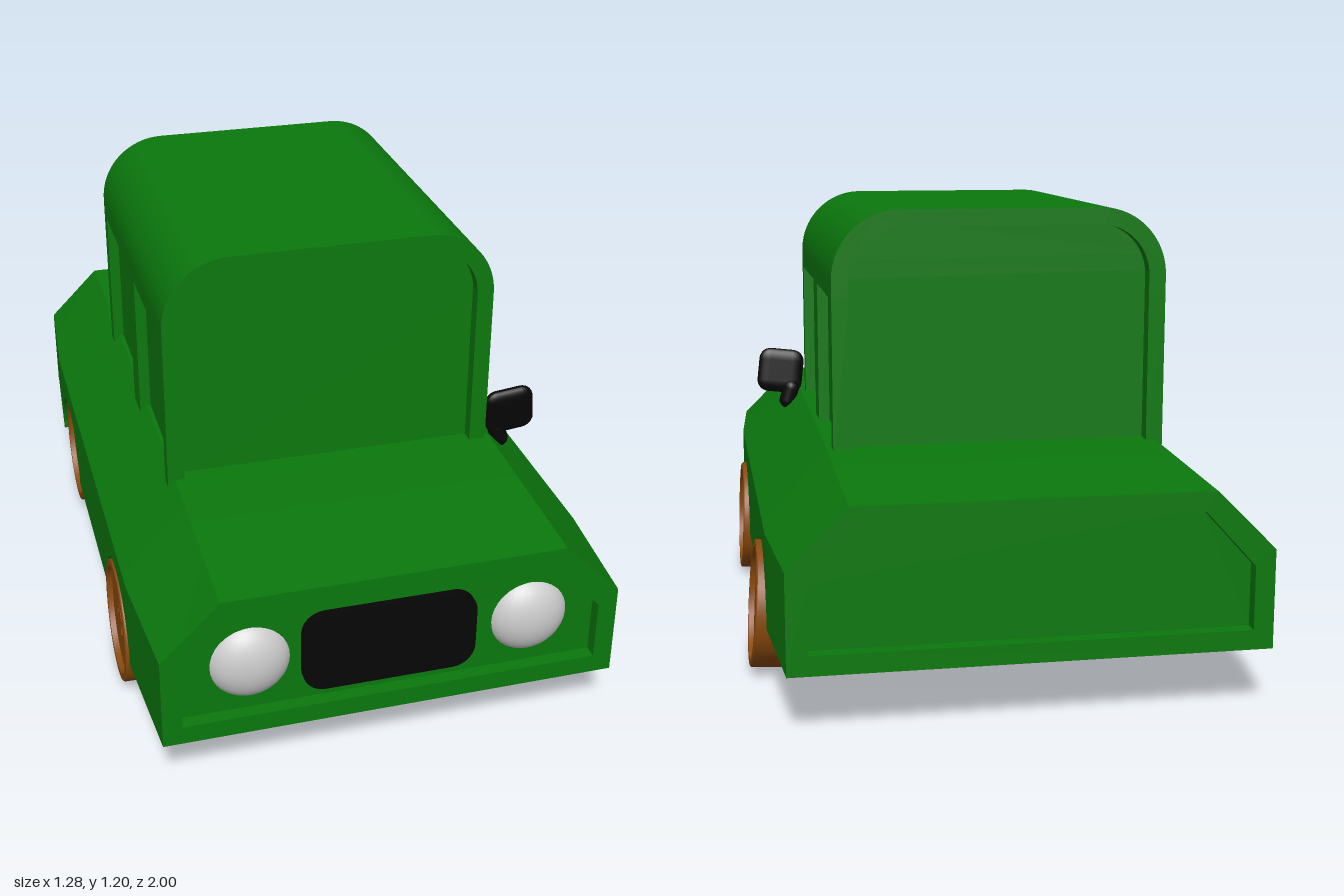
import * as THREE from 'three';
import { toCreasedNormals } from 'three/addons/utils/BufferGeometryUtils.js';
import { RoundedBoxGeometry } from 'three/addons/geometries/RoundedBoxGeometry.js';

const paint = (color) => new THREE.MeshStandardMaterial({ color, side: THREE.DoubleSide });
const green = paint(0x0b780d), brown = paint(0x8a4a0e), black = paint(0x060606), grey = paint(0xcccccc);
const CX = -0.015;            // centre line of the body
const FRONT = 0.985, BACK = -1;
const SILL = 0.16, FLOOR = 0.2, BELT = 0.41, DECK = 0.58;
const AXLE = 0.465, ARCH = 0.185, POCKET = 0.47, BEND = AXLE + ARCH;

// Half width of the body, tapering towards both ends
const halfWidth = (z) => 0.615 - 0.025 * Math.max(0, (Math.abs(z) - BEND) / 0.34);

function add(parent, name, geometry, material, x = 0, y = 0, z = 0) {
  const mesh = new THREE.Mesh(geometry, material);
  mesh.name = name;
  mesh.position.set(x, y, z);
  parent.add(mesh);
  return mesh;
}

const box = (parent, name, x0, x1, y0, y1, z0, z1) =>
  add(parent, name, new THREE.BoxGeometry(x1 - x0, y1 - y0, z1 - z0), green,
    (x0 + x1) / 2, (y0 + y1) / 2, (z0 + z1) / 2);

const polygon = (pts) => new THREE.Shape(pts.map(([x, y]) => new THREE.Vector2(x, y)));
const extrude = (shape, depth) =>
  new THREE.ExtrudeGeometry(shape, { depth, bevelEnabled: false, curveSegments: 10 });

// Upright outline with two rounded top corners and, if low > 0, two bottom ones
function roundedShape(half, bottom, top, r, low = 0) {
  const s = new THREE.Shape();
  s.moveTo(-half + low, bottom);
  s.lineTo(half - low, bottom);
  if (low) s.absarc(half - low, bottom + low, low, -Math.PI / 2, 0);
  s.lineTo(half, top - r);
  s.absarc(half - r, top - r, r, 0, Math.PI / 2);
  s.lineTo(-half + r, top);
  s.absarc(-half + r, top - r, r, Math.PI / 2, Math.PI);
  s.lineTo(-half, bottom + low);
  if (low) s.absarc(-half + low, bottom + low, low, Math.PI, Math.PI * 1.5);
  return s;
}

// Bonnet, deck and shoulders: one section swept along the length
function upperShell() {
  const pos = [], index = [];
  const stations = [BACK, -BEND, -0.45, 0.45, BEND, FRONT];
  for (const z of stations) {
    const w = halfWidth(z);
    const y = DECK - 0.02 * Math.max(0, (Math.abs(z) - 0.45) / 0.54);
    pos.push(-w, BELT, z, -0.44, y, z, 0.44, y, z, w, BELT, z);
  }
  for (let i = 0; i < stations.length - 1; i++)
    for (let j = 0; j < 3; j++) {
      const a = i * 4 + j, b = a + 4;
      index.push(a, b, a + 1, b, b + 1, a + 1);
    }
  const g = new THREE.BufferGeometry();
  g.setAttribute('position', new THREE.Float32BufferAttribute(pos, 3));
  g.setIndex(index);
  return toCreasedNormals(g, 0.3);
}

// Lower side in three lengths: plain ends and a middle with two wheel arches
function addSide(body, s) {
  const u0 = s > 0 ? -FRONT : BACK, u1 = s > 0 ? -BACK : FRONT;
  const middle = new THREE.Shape();
  middle.moveTo(-BEND, SILL);
  for (const c of [-AXLE, AXLE]) {
    middle.lineTo(c - ARCH, SILL);
    middle.absarc(c, SILL, ARCH, Math.PI, 0, true);
  }
  middle.lineTo(BEND, BELT);
  middle.lineTo(-BEND, BELT);
  const end = (a, b) => polygon([[a, SILL], [b, SILL], [b, BELT], [a, BELT]]);
  for (const shape of [end(u0, -BEND), middle, end(BEND, u1)]) {
    const g = extrude(shape, 0.04);
    const p = g.attributes.position;
    for (let i = 0; i < p.count; i++) {
      const z = -s * p.getX(i);
      p.setXYZ(i, s * (halfWidth(z) - 0.04 + p.getZ(i)), p.getY(i), z);
    }
    g.computeVertexNormals();
    add(body, 'sidePanel', g, green);
  }
}

function buildBody() {
  const body = new THREE.Group();
  body.name = 'body';
  body.position.x = CX;
  add(body, 'upperShell', upperShell(), green);

  // Framed, recessed end faces
  const inner = [[-0.54, 0.21], [0.54, 0.21], [0.54, 0.37], [0.412, 0.51], [-0.412, 0.51], [-0.54, 0.37]];
  const outline = [[-0.59, SILL], [0.59, SILL], [0.59, BELT], [0.44, 0.56], [-0.44, 0.56], [-0.59, BELT]];
  for (const [name, z, dir] of [['front', FRONT, -1], ['rear', BACK, 1]]) {
    const frame = polygon(outline);
    frame.holes.push(polygon(inner));
    add(body, name + 'Frame', extrude(frame, 0.035), green, 0, 0, dir < 0 ? z - 0.035 : z);
    add(body, name + 'Panel', extrude(polygon(inner), 0.01), green, 0, 0, dir < 0 ? z - 0.045 : z + 0.035);
  }

  // Sides and wheel pockets, which end level with the floor
  const cut = Math.asin((FLOOR - SILL) / ARCH);
  const pocket = new THREE.Shape().absarc(0, 0, ARCH, cut, Math.PI - cut);
  for (const s of [1, -1]) {
    addSide(body, s);
    for (const z of [AXLE, -AXLE]) {
      const liner = new THREE.CylinderGeometry(ARCH, ARCH, 0.14, 20, 1, true, cut, Math.PI - 2 * cut);
      add(body, 'archLiner', liner.rotateZ(Math.PI / 2), green, s * (POCKET + 0.07), SILL, z);
      const wall = new THREE.ShapeGeometry(pocket, 20);
      add(body, 'archWall', wall.rotateY(Math.PI / 2), green, s * POCKET, SILL, z);
    }
    // Floor beside the pockets
    const a = s > 0 ? POCKET : -0.58, b = s > 0 ? 0.58 : -POCKET;
    for (const [z0, z1] of [[BEND, 0.95], [0.15, 0.28], [-0.28, -0.13], [-0.96, -BEND]])
      box(body, 'sideFloor', a, b, FLOOR, 0.26, z0, z1);
  }
  // Floor with a shallow channel across the middle
  box(body, 'frontFloor', -POCKET, POCKET, FLOOR, 0.26, 0.15, 0.95);
  box(body, 'rearFloor', -POCKET, POCKET, FLOOR, 0.26, -0.96, -0.13);
  box(body, 'floorChannel', -0.58, 0.58, 0.245, 0.26, -0.13, 0.15);
  return body;
}

function buildCabin() {
  const cabin = new THREE.Group();
  cabin.name = 'cabin';
  cabin.position.x = -0.0325;
  const half = 0.4425, wall = 0.045, inset = 0.03, z0 = -0.485, z1 = 0.45, head = 0.97;
  // Roof band: along the outer outline, then back along the inner one
  const R = 0.18, r = R - wall, h = half - wall;
  const band = new THREE.Shape();
  band.moveTo(half, head);
  band.lineTo(half, 1.2 - R);
  band.absarc(half - R, 1.2 - R, R, 0, Math.PI / 2);
  band.absarc(-half + R, 1.2 - R, R, Math.PI / 2, Math.PI);
  band.lineTo(-half, head);
  band.lineTo(-h, head);
  band.absarc(-h + r, 1.2 - R, r, Math.PI, Math.PI / 2, true);
  band.absarc(h - r, 1.2 - R, r, Math.PI / 2, 0, true);
  band.lineTo(h, head);
  add(cabin, 'roof', extrude(band, z1 - z0), green, 0, 0, z0);
  // Inset window core
  const core = roundedShape(half - inset, 0.55, 1.2 - inset, R - inset);
  add(cabin, 'windows', extrude(core, 0.86), green, 0, 0, -0.445);
  // Pillars
  for (const s of [1, -1])
    for (const [a, b] of [[z0, -0.44], [-0.065, 0.03], [0.41, z1]])
      box(cabin, 'pillar', s > 0 ? h : -half, s > 0 ? half : -h, 0.56, head, a, b);
  return cabin;
}

// Dished wheel with a small cross on its outer face; outer side is +x
function buildWheel(name) {
  const wheel = new THREE.Group();
  wheel.name = name;
  const profile = [[0, -0.047], [0.163, -0.047], [0.167, -0.043], [0.167, 0.044],
    [0.164, 0.047], [0.147, 0.047], [0.143, 0.032], [0, 0.032]].map(([x, y]) => new THREE.Vector2(x, y));
  const tyre = toCreasedNormals(new THREE.LatheGeometry(profile, 36), 0.5);
  add(wheel, 'tyre', tyre.rotateZ(-Math.PI / 2), brown);
  for (const turn of [0, Math.PI / 2]) {
    const bar = add(wheel, 'hubCross', new THREE.BoxGeometry(0.01, 0.085, 0.022), brown, 0.031);
    bar.rotation.x = turn + 0.15;
  }
  return wheel;
}

export function createModel() {
  const car = new THREE.Group();
  car.name = 'car';
  car.add(buildBody(), buildCabin());

  // Wheels: name, x, y, z, lean
  for (const [name, x, y, z, lean] of [
    ['frontLeftWheel', 0.572, 0.172, 0.467, 0.04], ['rearLeftWheel', 0.581, 0.174, -0.471, 0.075],
    ['frontRightWheel', -0.59, 0.17, 0.46, 0.015], ['rearRightWheel', -0.573, 0.184, -0.465, 0]]) {
    const wheel = buildWheel(name);
    wheel.position.set(x, y, z);
    wheel.rotation.set(0, x > 0 ? 0 : Math.PI, lean);
    car.add(wheel);
  }

  // Headlights
  for (const x of [-0.377, 0.35]) {
    const lamp = add(car, 'headlight', new THREE.SphereGeometry(0.108, 28, 18), grey, x, 0.347, 0.926);
    lamp.scale.z = 0.65;
  }

  // Grille
  add(car, 'grille', extrude(roundedShape(0.225, 0.24, 0.465, 0.06, 0.06), 0.025), black, -0.023, 0, 0.945);

  // Wing mirror
  const mirror = new THREE.Group();
  mirror.name = 'wingMirror';
  const pane = add(mirror, 'mirrorHead', new RoundedBoxGeometry(0.138, 0.135, 0.08, 4, 0.035), black, 0.487, 0.645, 0.425);
  pane.scale.z = 0.45;
  pane.rotation.set(0.1, 0, 0.12);
  const arm = add(mirror, 'mirrorArm', new THREE.CapsuleGeometry(0.025, 0.04, 6, 14), black, 0.462, 0.572, 0.413);
  arm.rotation.z = 0.3;
  car.add(mirror);
  return car;
}
